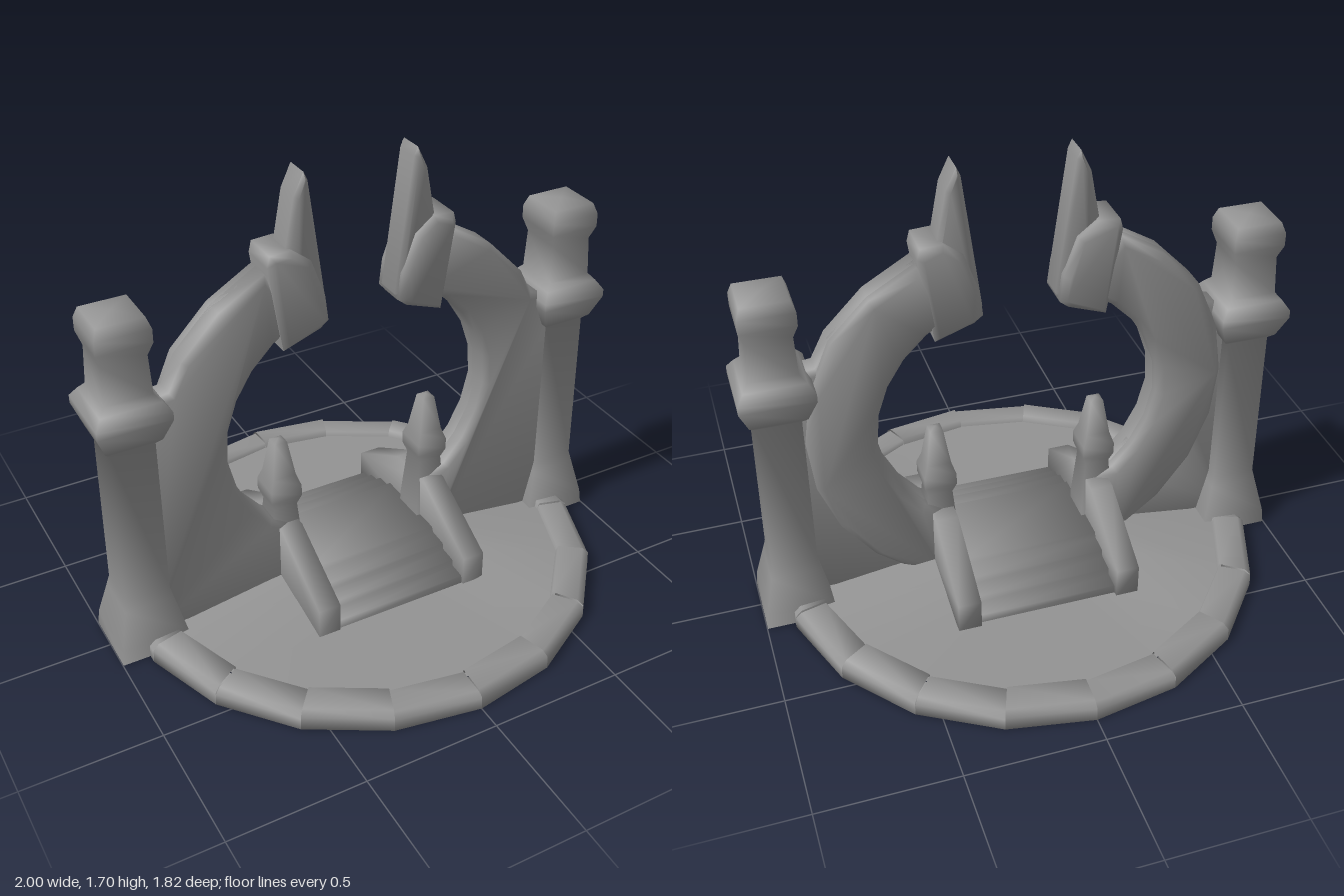
import * as THREE from 'three';
import { toCreasedNormals } from 'three/addons/utils/BufferGeometryUtils.js';

const stone = new THREE.MeshStandardMaterial({ color: 0x939393, side: THREE.DoubleSide });

// Softly shaded mesh: even right-angled edges blend into each other
function add(group, name, geometry, x = 0, y = 0, z = 0) {
  const mesh = new THREE.Mesh(toCreasedNormals(geometry, 1.7), stone);
  mesh.name = name;
  mesh.position.set(x, y, z);
  group.add(mesh);
}

const vec = (points) => points.map(([a, b]) => new THREE.Vector2(a, b));

// Slab with a chamfered rim, centred on z = 0, outline given in x and y
function slab(points, depth, bevel = 0) {
  const geometry = new THREE.ExtrudeGeometry(new THREE.Shape(vec(points)), {
    depth: depth - 2 * bevel,
    bevelEnabled: bevel > 0,
    bevelThickness: bevel,
    bevelSize: bevel,
    bevelOffset: -bevel,
    bevelSegments: 1,
  });
  return geometry.translate(0, 0, bevel - depth / 2);
}

// Square column from [half width, height] pairs
function squareColumn(profile) {
  const points = vec(profile.map(([half, y]) => [half * Math.SQRT2, y]));
  return new THREE.LatheGeometry(points, 4).rotateY(Math.PI / 4);
}

// Floor from the round rim to the stairwell, rising a little towards the wall
function floorGeometry() {
  const geometry = new THREE.RingGeometry(1, 2, 18, 1, Math.PI / 2).rotateX(-Math.PI / 2);
  const position = geometry.attributes.position;
  for (let i = 0; i < position.count; i++) {
    const x = position.getX(i), z = position.getZ(i);
    const r = Math.hypot(x, z);
    if (r > 1.5) {
      position.setXYZ(i, x * 0.4, 0.05, z * 0.4);
    } else {
      const k = Math.min(0.32 / Math.max(Math.abs(x), 1e-6), 0.37 / Math.max(Math.abs(z), 1e-6));
      const rise = 0.08 * (1 - Math.abs(z * k) / 0.37);
      position.setXYZ(i, x * k, 0.05 + rise, z * k);
    }
  }
  return geometry;
}

export function createModel() {
  const model = new THREE.Group();
  model.name = 'brokenGate';

  // Rim of eighteen stones, alternately a little lower
  const rim = [[0.8, 0.045], [0.82, 0], [0.91, 0], [0.908, 0.05], [0.885, 0.07],
    [0.79, 0.078], [0.78, 0.045]];
  const arc = Math.PI / 9;
  for (let i = 0; i < 18; i++) {
    const geometry = new THREE.LatheGeometry(vec(rim), 1, i * arc, arc);
    add(model, 'rimStone', geometry.scale(1, i % 2 ? 0.88 : 1, 1));
  }
  add(model, 'floor', floorGeometry());

  // Stairs up and down, a thin stepped sheet
  const front = [[0.38, 0.05], [0.375, 0.08], [0.315, 0.085], [0.31, 0.11], [0.245, 0.115],
    [0.24, 0.14], [0.17, 0.145], [0.16, 0.165]];
  const upper = [...front, ...front.map(([z, y]) => [-z, y]).reverse()];
  const lower = upper.map(([z, y]) => [z * 0.97, y - 0.015]).reverse();
  add(model, 'stairs', slab([...upper, ...lower], 0.56).rotateY(-Math.PI / 2), 0, 0, -0.01);

  const pillar = [[0.13, 0], [0.124, 0.06], [0.092, 0.2], [0.083, 0.24], [0.08, 0.86],
    [0.1, 0.88], [0.132, 0.965], [0.132, 0.995], [0.108, 1.03], [0.086, 1.055], [0.08, 1.2],
    [0.097, 1.25], [0.097, 1.3], [0.083, 1.34], [0, 1.348]];
  const post = [[0.065, 0.05], [0.062, 0.2], [0.046, 0.4], [0.06, 0.44], [0.06, 0.485],
    [0.045, 0.53], [0.024, 0.665], [0, 0.675]];
  const rail = [[0.393, 0.04], [0.393, 0.165], [0.1, 0.33], [-0.1, 0.33], [-0.393, 0.165], [-0.393, 0.04]];

  // Inner and outer curves of the arch, from the foot to the claw
  const arcPoint = (r, degrees) => {
    const a = THREE.MathUtils.degToRad(degrees);
    return [r * Math.cos(a), 0.72 + r * Math.sin(a)];
  };
  const inner = [], outer = [];
  for (let i = 0; i <= 8; i++) {
    inner.push(arcPoint(0.53 - 0.03 * Math.abs(i - 3.3) / 4.7, -44 + i * 13.2));
    outer.push(arcPoint(0.78 - (i > 6 ? 0.02 * (i - 6) : 0), -59 + i * 15));
  }
  const foot = [[0.3, 0.04], [0.3, 0.33]];
  const archBack = [...inner, ...[...outer].reverse(), ...foot];
  // Front wall: the arch with its lower corner filled out to the pillar
  const wall = [...inner, ...outer.slice(6).reverse(), [0.72, 1.02], [0.88, 1.0], [0.88, 0.04], ...foot];

  const claw = [[0.36, 1.4], [0.35, 1.44], [0.27, 1.445], [0.2, 1.39], [0.15, 1.25],
    [0.138, 1.15], [0.17, 1.125], [0.31, 1.075]];
  const spike = [[0.3, 1.35], [0.28, 1.46], [0.25, 1.62], [0.212, 1.7], [0.198, 1.67],
    [0.132, 1.17], [0.145, 1.14], [0.26, 1.14]];

  for (const side of [1, -1]) {
    const half = new THREE.Group();
    half.name = side > 0 ? 'leftHalf' : 'rightHalf';
    const mirror = (points) => points.map(([x, y]) => [side * x, y]);
    add(half, 'pillar', squareColumn(pillar), side * 0.868, 0, -0.005);
    add(half, 'archWall', slab(mirror(wall), 0.11, 0.02), 0, 0, 0.015);
    add(half, 'archBack', slab(mirror(archBack), 0.1, 0.025), 0, 0, -0.025);
    add(half, 'claw', slab(mirror(claw), 0.18, 0.02), 0, 0, 0.005);
    add(half, 'clawSpike', slab(mirror(spike), 0.12, 0.015), 0, 0, 0.01);
    add(half, 'stairRail', slab(rail, 0.085).rotateY(-Math.PI / 2), side * 0.303, 0, -0.015);
    add(half, 'stairPost', squareColumn(post), side * 0.307);
    model.add(half);
  }
  return model;
}
